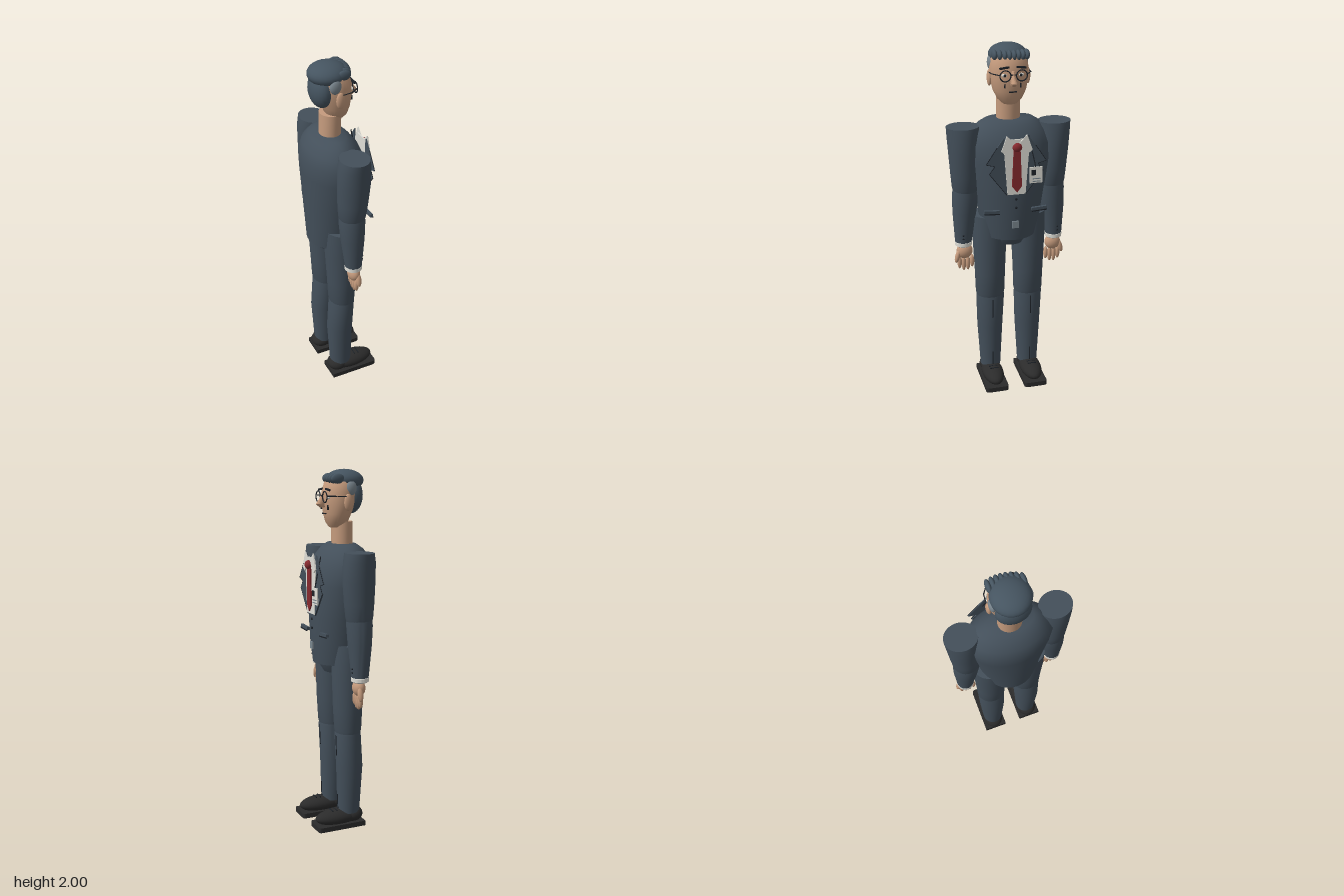
import * as THREE from 'three';
import { toCreasedNormals } from 'three/addons/utils/BufferGeometryUtils.js';

const mat = (name, color, side = THREE.FrontSide) => {
  const m = new THREE.MeshStandardMaterial({ color, side });
  m.name = name;
  return m;
};

export function createModel() {
  const suit = mat('suit', 0x434f5a), hair = mat('hair', 0x455460), skin = mat('skin', 0xc59b7d);
  const shoe = mat('shoe leather', 0x2b2b2b), white = mat('shirt white', 0xdfded6);
  const red = mat('tie red', 0x86292e), grey = mat('grey', 0x7a868e), dark = mat('dark line', 0x1d2228);

  // The man is built facing +z, then turned to face +x
  const man = new THREE.Group();
  man.name = 'man';
  man.rotation.y = Math.PI / 2;

  const add = (name, geo, material, x = 0, y = 0, z = 0) => {
    const mesh = new THREE.Mesh(geo, material);
    mesh.name = name;
    mesh.position.set(x, y, z);
    man.add(mesh);
    return mesh;
  };
  // Stack of elliptical rings, top to bottom: [y, centreX, halfX, backZ, frontZ]
  const loft = (name, rings, material, sides = 32) => {
    const n = rings.length - 1;
    const geo = new THREE.CylinderGeometry(1, 1, 1, sides, n);
    const p = geo.attributes.position;
    for (let i = 0; i < p.count; i++) {
      const [y, cx, rx, zb, zf] = rings[Math.round((0.5 - p.getY(i)) * n)];
      p.setXYZ(i, cx + p.getX(i) * rx, y, (zb + zf) / 2 + p.getZ(i) * (zf - zb) / 2);
    }
    return add(name, toCreasedNormals(geo, 0.75), material);
  };
  const ball = (name, x, y, z, rx, ry, rz, material) => {
    const m = add(name, new THREE.SphereGeometry(1, 24, 16), material, x, y, z);
    m.scale.set(rx, ry, rz);
    return m;
  };
  const box = (name, x, y, z, w, h, d, material) =>
    add(name, new THREE.BoxGeometry(w, h, d), material, x, y, z);
  const rod = (name, a, b, r, material) => {
    const path = new THREE.LineCurve3(new THREE.Vector3(...a), new THREE.Vector3(...b));
    return add(name, new THREE.TubeGeometry(path, 1, r, 6), material);
  };
  // Flat cut-out facing +z
  const plate = (name, pts, z, depth, material) => {
    const shape = new THREE.Shape(pts.map(([x, y]) => new THREE.Vector2(x, y)));
    return add(name, new THREE.ExtrudeGeometry(shape, { depth, bevelEnabled: false }), material, 0, 0, z);
  };

  // Jacket body and hips
  loft('jacket', [
    [1.6, 0, 0.13, -0.1, 0.035], [1.575, 0, 0.17, -0.135, 0.07], [1.53, 0, 0.21, -0.17, 0.105],
    [1.47, 0, 0.235, -0.19, 0.13], [1.38, 0, 0.23, -0.188, 0.148], [1.2, 0, 0.195, -0.18, 0.147],
    [1.05, 0, 0.172, -0.172, 0.142], [0.94, 0, 0.15, -0.166, 0.13]], suit, 40);
  loft('hips', [[1.0, 0, 0.13, -0.145, 0.11], [0.94, 0, 0.11, -0.14, 0.105], [0.885, 0, 0.085, -0.11, 0.07]], suit);

  // Shirt, collar and tie
  plate('shirt', [[-0.05, 1.22], [0.05, 1.22], [0.07, 1.49], [0.04, 1.53], [-0.04, 1.53], [-0.07, 1.49]], 0.148, 0.007, white);
  plate('tie', [[0, 1.235], [0.027, 1.27], [0.018, 1.48], [-0.018, 1.48], [-0.027, 1.27]], 0.158, 0.008, red);
  ball('tieKnot', 0, 1.49, 0.168, 0.026, 0.024, 0.019, red);

  for (const s of [-1, 1]) {
    const flip = (pts) => pts.map(([x, y]) => [x * s, y]);
    plate('collarWing', flip([[0.012, 1.51], [0.055, 1.555], [0.085, 1.47], [0.06, 1.45]]), 0.157, 0.007, white);
    plate('lapel', flip([[0.065, 1.545], [0.105, 1.49], [0.165, 1.4], [0.118, 1.387], [0.148, 1.345], [0.05, 1.215], [0.058, 1.35]]), 0.143, 0.008, suit);
    // Dark trim along the lapel edge
    const trim = [[0.105, 1.49], [0.165, 1.4], [0.118, 1.387], [0.148, 1.345], [0.05, 1.215]];
    for (let i = 0; i < trim.length - 1; i++)
      rod('lapelEdge', [trim[i][0] * s, trim[i][1], 0.15], [trim[i + 1][0] * s, trim[i + 1][1], 0.15], 0.002, dark);
    // Pocket flap
    const flap = box('pocketFlap', s * 0.133, 1.12, 0.133, 0.085, 0.018, 0.016, suit);
    flap.rotation.z = s * 0.06;
    box('pocketLine', s * 0.133, 1.11, 0.14, 0.085, 0.006, 0.008, dark).rotation.z = s * 0.06;

    // Arm
    loft('upperArm', [
      [1.57, s * 0.255, 0.09, -0.095, 0.062], [1.52, s * 0.254, 0.088, -0.104, 0.07],
      [1.42, s * 0.251, 0.084, -0.105, 0.072], [1.3, s * 0.247, 0.079, -0.102, 0.062],
      [1.22, s * 0.245, 0.074, -0.097, 0.052], [1.195, s * 0.245, 0.066, -0.088, 0.044]], suit);
    loft('forearm', [
      [1.23, s * 0.245, 0.068, -0.09, 0.046], [1.18, s * 0.246, 0.073, -0.095, 0.048],
      [1.08, s * 0.253, 0.067, -0.088, 0.043], [0.9, s * 0.263, 0.047, -0.067, 0.027]], suit);
    loft('shirtCuff', [[0.905, s * 0.263, 0.04, -0.06, 0.02], [0.898, s * 0.263, 0.048, -0.068, 0.028],
      [0.878, s * 0.263, 0.048, -0.068, 0.028], [0.872, s * 0.263, 0.04, -0.06, 0.02]], white);
    for (const y of [0.93, 0.95]) ball('sleeveButton', s * 0.272, y, 0.031, 0.005, 0.005, 0.004, dark);

    // Hand
    ball('palm', s * 0.258, 0.84, -0.015, 0.046, 0.046, 0.034, skin);
    for (let i = 0; i < 4; i++) {
      const len = [0.038, 0.046, 0.048, 0.042][i];
      ball('finger', s * (0.217 + i * 0.024), 0.77 - (i % 3 ? 0.004 : -0.004), -0.012, 0.013, len, 0.014, skin);
    }
    ball('thumb', s * 0.301, 0.812, -0.005, 0.014, 0.04, 0.016, skin).rotation.z = s * 0.25;

    // Leg
    loft('thigh', [
      [1.055, s * 0.113, 0.097, -0.113, 0.065], [0.9, s * 0.112, 0.096, -0.112, 0.07],
      [0.7, s * 0.112, 0.087, -0.1, 0.064], [0.57, s * 0.112, 0.083, -0.093, 0.056],
      [0.54, s * 0.112, 0.076, -0.084, 0.048]], suit);
    loft('shin', [
      [0.58, s * 0.112, 0.076, -0.085, 0.046], [0.54, s * 0.112, 0.081, -0.091, 0.054],
      [0.35, s * 0.113, 0.074, -0.104, 0.046], [0.08, s * 0.113, 0.059, -0.087, 0.04]], suit);
    rod('kneeCrease', [s * 0.113, 0.54, 0.054], [s * 0.113, 0.42, 0.05], 0.003, dark);
    rod('hemCrease', [s * 0.113, 0.19, 0.044], [s * 0.113, 0.1, 0.042], 0.003, dark);

    // Shoe
    const sole = new THREE.Shape();
    sole.moveTo(-0.067, -0.1).lineTo(0.067, -0.1).lineTo(0.067, 0.165)
      .quadraticCurveTo(0.067, 0.185, 0.047, 0.185).lineTo(-0.047, 0.185)
      .quadraticCurveTo(-0.067, 0.185, -0.067, 0.165).closePath();
    const soleGeo = new THREE.ExtrudeGeometry(sole, { depth: 0.028, bevelEnabled: false });
    soleGeo.rotateX(Math.PI / 2);
    add('sole', soleGeo, shoe, s * 0.116, 0.028, 0);
    ball('shoeUpper', s * 0.116, 0.056, 0.045, 0.062, 0.046, 0.135, shoe);
    ball('shoeHeel', s * 0.116, 0.06, -0.045, 0.058, 0.046, 0.062, shoe);
    for (const z of [0.06, 0.085]) box('lace', s * 0.116, 0.1, z, 0.05, 0.005, 0.006, dark);
  }

  // Jacket buttons, buckle and name badge
  for (const y of [1.19, 1.14]) ball('jacketButton', 0, y, 0.148, 0.007, 0.007, 0.005, dark);
  box('buckle', -0.004, 1.04, 0.146, 0.036, 0.04, 0.008, grey);
  box('badge', 0.102, 1.33, 0.172, 0.07, 0.09, 0.006, white);
  box('badgePhoto', 0.087, 1.345, 0.176, 0.024, 0.03, 0.004, dark);
  for (const y of [1.31, 1.295]) box('badgeLine', 0.105, y, 0.176, 0.044, 0.005, 0.004, grey);
  rod('badgeCord', [0.072, 1.54, 0.125], [0.1, 1.375, 0.172], 0.003, dark);

  // Neck and head
  loft('neck', [[1.72, 0, 0.064, -0.09, 0.025], [1.58, 0, 0.064, -0.093, 0.023]], skin);
  loft('head', [
    [1.975, 0, 0.06, -0.09, 0.02], [1.94, 0, 0.095, -0.115, 0.06], [1.88, 0, 0.105, -0.118, 0.077],
    [1.82, 0, 0.103, -0.105, 0.078], [1.76, 0, 0.09, -0.078, 0.069], [1.715, 0, 0.068, -0.06, 0.058],
    [1.688, 0, 0.04, -0.038, 0.04]], skin);

  // Hair: crown, nape and a row of fringe locks
  ball('hairCrown', 0, 1.94, -0.047, 0.103, 0.06, 0.106, hair);
  ball('hairBack', 0, 1.86, -0.085, 0.092, 0.1, 0.061, hair);
  for (let i = 0; i < 8; i++) {
    const t = (i - 3.5) / 3.5;
    ball('fringeLock', t * 0.084, 1.95, 0.036 - t * t * 0.018 + t * 0.012, 0.015, 0.027, 0.038, hair);
  }

  // Face
  const nose = loft('nose', [[1.875, 0, 0.008, 0.06, 0.086], [1.84, 0, 0.012, 0.06, 0.103],
    [1.815, 0, 0.018, 0.06, 0.122], [1.797, 0, 0.013, 0.06, 0.1]], skin, 12);
  nose.name = 'nose';
  box('mouth', 0, 1.763, 0.071, 0.042, 0.006, 0.008, dark);
  for (const s of [-1, 1]) {
    ball('ear', s * 0.105, 1.825, -0.023, 0.013, 0.045, 0.024, skin);
    ball('templeHair', s * 0.093, 1.9, -0.045, 0.018, 0.04, 0.032, grey);
    ball('eye', s * 0.043, 1.852, 0.066, 0.018, 0.01, 0.008, white);
    ball('pupil', s * 0.043, 1.852, 0.073, 0.007, 0.008, 0.004, dark);
    box('eyebrow', s * 0.046, 1.892, 0.071, 0.052, 0.01, 0.009, dark).rotation.z = -s * 0.12;
    box('cheekLine', s * 0.042, 1.797, 0.069, 0.006, 0.024, 0.008, dark);
    // Spectacles
    add('lensRim', new THREE.TorusGeometry(0.029, 0.0033, 8, 28), dark, s * 0.044, 1.853, 0.088);
    rod('rimHinge', [s * 0.073, 1.858, 0.086], [s * 0.105, 1.858, 0.04], 0.003, dark);
    rod('spectacleArm', [s * 0.105, 1.858, 0.04], [s * 0.11, 1.855, -0.02], 0.003, dark);
  }
  rod('spectacleBridge', [-0.016, 1.858, 0.09], [0.016, 1.858, 0.09], 0.0033, dark);

  const model = new THREE.Group();
  model.name = 'suitedMan';
  model.add(man);
  return model;
}
